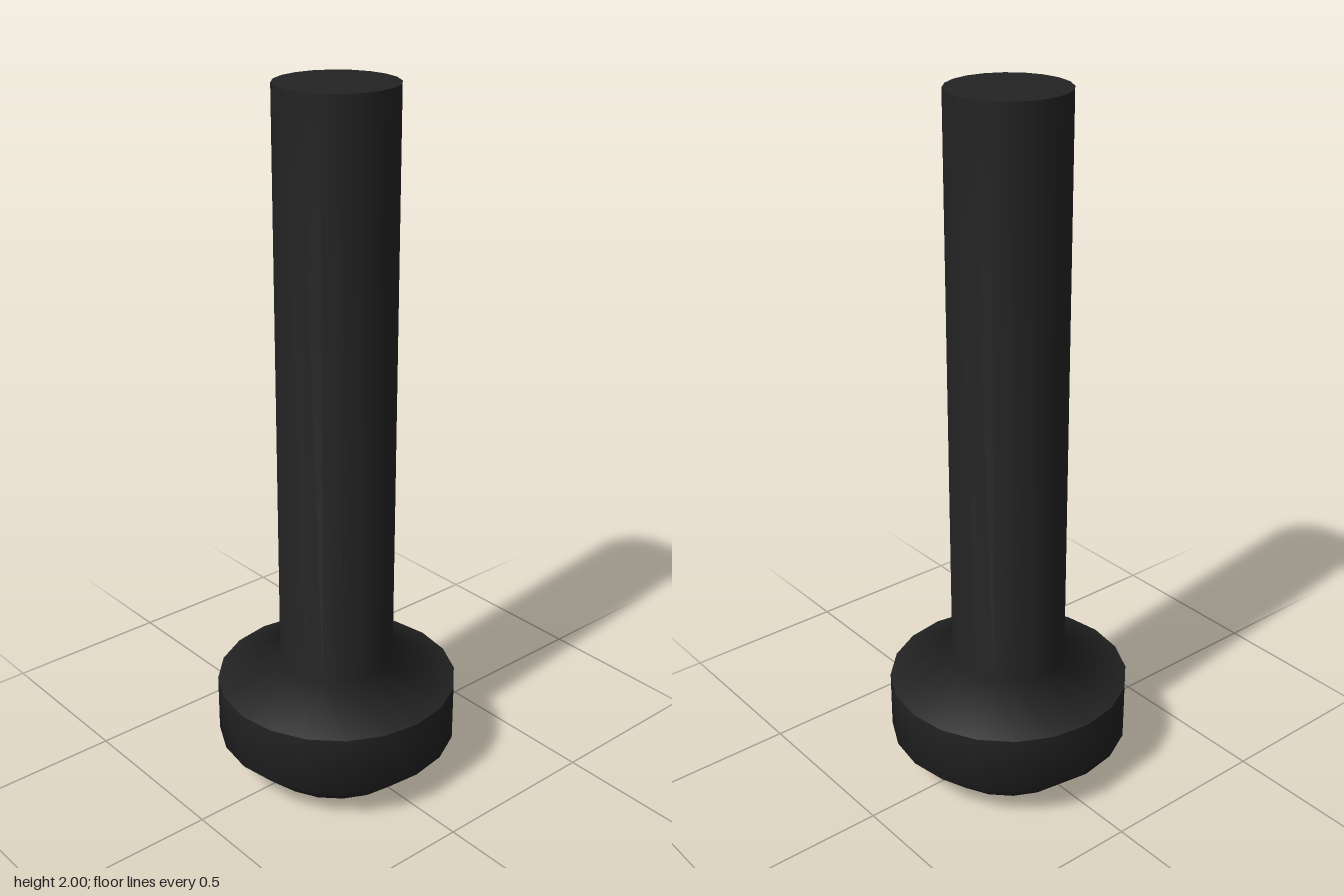
import * as THREE from 'three';

const SIDES = 20;
const BASE_RADIUS = 0.23;
const HEAD_RADIUS = 0.348;
const SHAFT_RADIUS = 0.165;
const HEIGHT = 2;

export function createModel() {
  const group = new THREE.Group();
  group.name = 'pin';
  const black = new THREE.MeshStandardMaterial({ color: 0x232323 });
  black.name = 'black';

  const add = (name, geometry) => {
    const mesh = new THREE.Mesh(geometry, black);
    mesh.name = name;
    group.add(mesh);
    return mesh;
  };
  // Smooth turned surface; separate surfaces meet in a sharp edge
  const turned = (name, profile) =>
    add(name, new THREE.LatheGeometry(profile.map(([r, y]) => new THREE.Vector2(r, y)), SIDES));
  // Flat end cap facing up (+1) or down (-1)
  const cap = (name, radius, y, facing) => {
    const disc = new THREE.CircleGeometry(radius, SIDES);
    disc.rotateX(-facing * Math.PI / 2);
    add(name, disc).position.y = y;
  };

  // Head: flat underside, chamfer and straight wall
  cap('headUnderside', BASE_RADIUS, 0, -1);
  turned('head', [[BASE_RADIUS, 0], [HEAD_RADIUS, 0.11], [HEAD_RADIUS, 0.28]]);

  // Sloping shoulder running smoothly into the shaft
  turned('shoulderAndShaft', [[HEAD_RADIUS, 0.28], [SHAFT_RADIUS, 0.355], [SHAFT_RADIUS, HEIGHT]]);
  cap('shaftEnd', SHAFT_RADIUS, HEIGHT, 1);

  return group;
}
